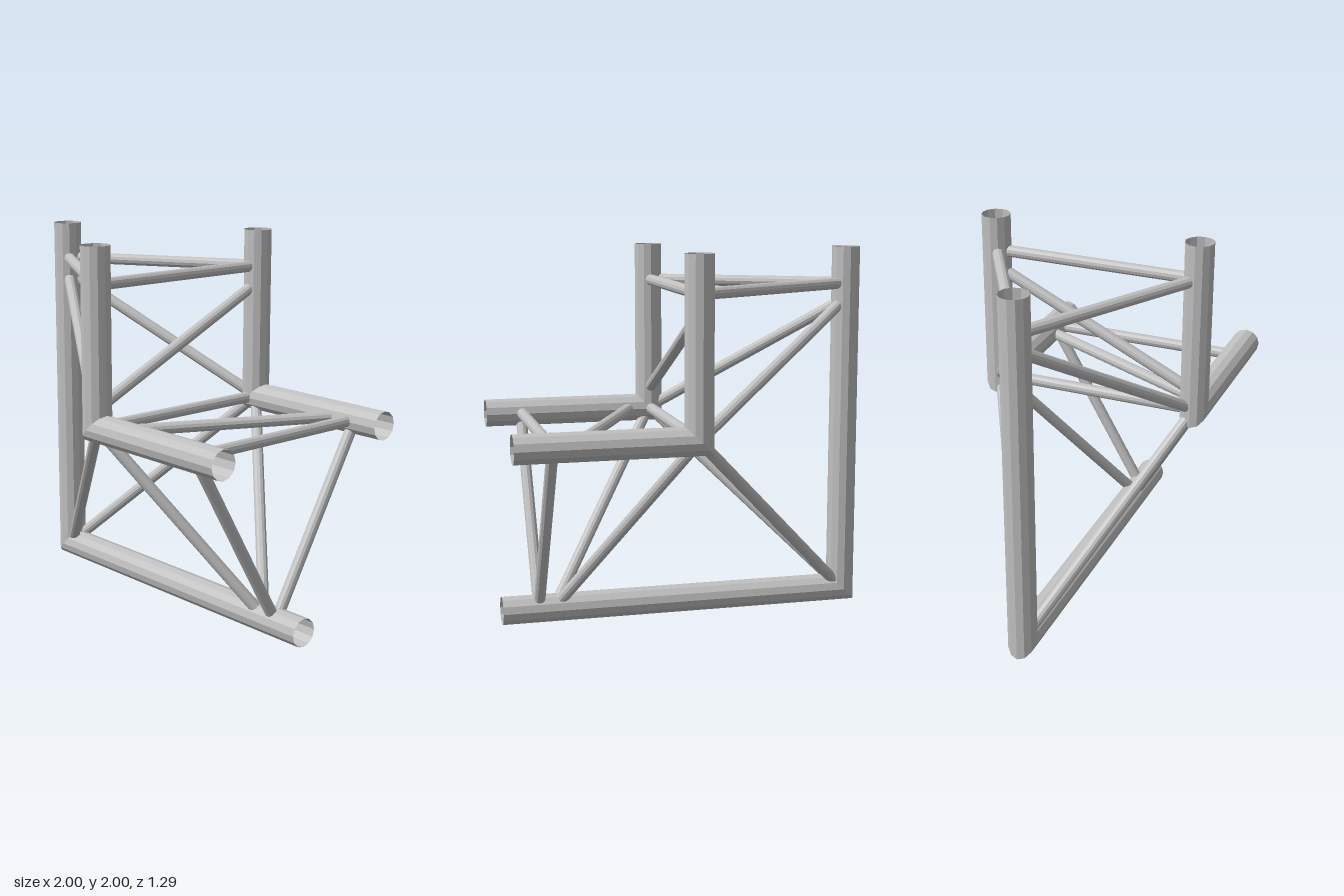
import * as THREE from 'three';

const SIDES = 12;
const R = 0.077;      // chord radius
const BR = 0.031;     // brace radius
const END = { x: 1, y: 2 };

// Chord corners: one outer chord at the bottom, two inner chords front and back
const outer = { x: -0.923, y: 0.077, z: 0 };
const front = { x: 0.057, y: 1.063, z: 0.567 };
const back = { x: 0.057, y: 1.063, z: -0.567 };

// Open tube that runs down, turns through a mitre and runs to +x
function mitredTube(c) {
  const pos = [], index = [];
  for (let j = 0; j < 3; j++) {
    for (let i = 0; i < SIDES; i++) {
      const a = (i / SIDES) * Math.PI * 2;
      const u = R * Math.cos(a), v = R * Math.sin(a);
      pos.push(j < 2 ? c.x + u : END.x, j > 0 ? c.y + u : END.y, c.z + v);
    }
  }
  for (let j = 0; j < 2; j++) {
    for (let i = 0; i < SIDES; i++) {
      const n = (i + 1) % SIDES;
      const a = j * SIDES + i, b = j * SIDES + n;
      const d = a + SIDES, e = b + SIDES;
      index.push(a, b, d, b, e, d);
    }
  }
  const g = new THREE.BufferGeometry();
  g.setAttribute('position', new THREE.Float32BufferAttribute(pos, 3));
  g.setIndex(index);
  const flat = g.toNonIndexed();
  flat.computeVertexNormals();
  return flat;
}

export function createModel() {
  const model = new THREE.Group();
  model.name = 'trussCorner';

  const metal = new THREE.MeshStandardMaterial({ color: 0xc0c0c0 });
  metal.name = 'aluminium';
  metal.side = THREE.DoubleSide;
  metal.flatShading = true;

  const chord = (name, c) => {
    const m = new THREE.Mesh(mitredTube(c), metal);
    m.name = name;
    model.add(m);
  };
  chord('outerChord', outer);
  chord('frontChord', front);
  chord('backChord', back);

  const brace = (name, a, b) => {
    const dir = b.clone().sub(a);
    const m = new THREE.Mesh(new THREE.CylinderGeometry(BR, BR, dir.length(), SIDES), metal);
    m.position.copy(a).add(b).multiplyScalar(0.5);
    m.quaternion.setFromUnitVectors(new THREE.Vector3(0, 1, 0), dir.normalize());
    m.name = name;
    model.add(m);
  };

  const corner = (c) => new THREE.Vector3(c.x, c.y, c.z);
  // Point on a chord's axis; t is the height on the upright, or x + 1 on the level leg
  const legs = {
    upright: (c, t) => new THREE.Vector3(c.x, t, c.z),
    level: (c, t) => new THREE.Vector3(t - 1, c.y, c.z),
  };

  for (const [leg, at] of Object.entries(legs)) {
    // Triangle of struts near the open end
    brace(leg + 'EndStrut', at(front, 1.8), at(back, 1.8));
    for (const c of [front, back]) {
      brace(leg + 'EndStrut', at(outer, 1.8), at(c, 1.8));
      brace(leg + 'Diagonal', at(outer, 1.715), corner(c));
    }
    // Diagonal between the two inner chords
    brace(leg + 'CrossDiagonal', at(front, 1.163), at(back, 1.707));
  }

  // Struts joining the three mitred corners
  for (const c of [front, back]) brace('cornerStrut', corner(outer), corner(c));
  brace('cornerStrut', corner(front), corner(back));

  return model;
}
